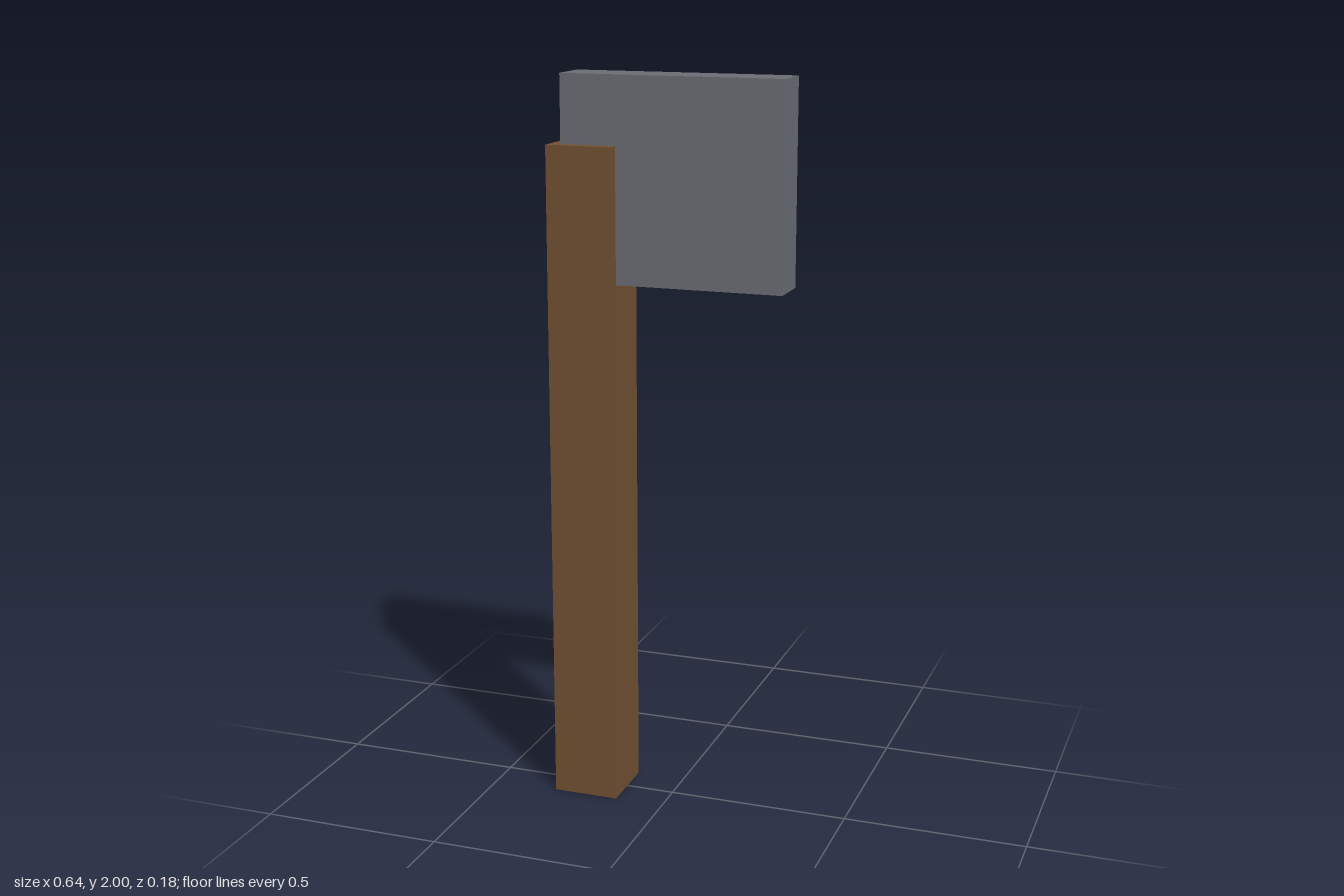
import * as THREE from 'three';

// Adds a named box given its size and centre
function addBox(group, name, color, size, centre) {
  const material = new THREE.MeshStandardMaterial({ color });
  const mesh = new THREE.Mesh(new THREE.BoxGeometry(...size), material);
  mesh.name = name;
  mesh.position.set(...centre);
  group.add(mesh);
}

export function createModel() {
  const axe = new THREE.Group();
  axe.name = 'axe';

  // Square wooden handle
  addBox(axe, 'handle', 0x725133, [0.182, 1.818, 0.182], [-0.227, 0.909, 0]);

  // Flat metal head, set through the top of the handle
  addBox(axe, 'blade', 0x6a6d75, [0.606, 0.545, 0.121], [0.015, 1.7275, 0]);

  return axe;
}
